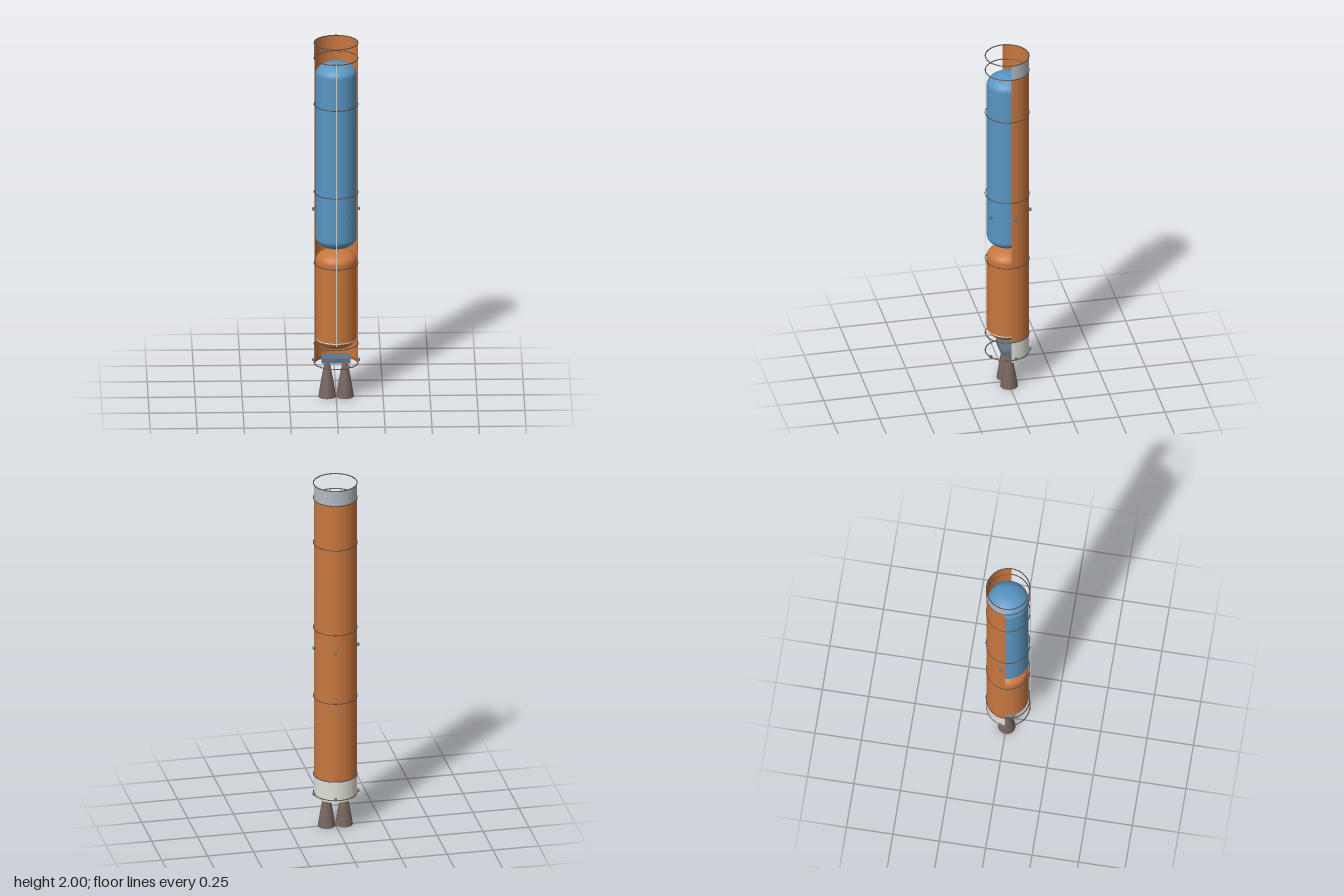
import * as THREE from 'three';

const mat = (name, color, side = THREE.FrontSide) => {
  const m = new THREE.MeshStandardMaterial({ color, side });
  m.name = name;
  return m;
};

export function createModel() {
  const root = new THREE.Group();
  root.name = 'cutawayRocketStage';
  const orange = mat('orange', 0xc8773f, THREE.DoubleSide);
  const blue = mat('blue', 0x5a96c4);
  const white = mat('offWhite', 0xe0e0d6, THREE.DoubleSide);
  const grey = mat('lightGrey', 0xb2bac2, THREE.DoubleSide);
  const brown = mat('nozzleBrown', 0x77655f, THREE.DoubleSide);
  const dark = mat('ringBrown', 0x5c4e47);
  const slate = mat('slate', 0x627488);

  const add = (name, geometry, material, x = 0, y = 0, z = 0) => {
    const mesh = new THREE.Mesh(geometry, material);
    mesh.name = name;
    mesh.position.set(x, y, z);
    root.add(mesh);
    return mesh;
  };

  // Rear half shell, open at the front, with coloured end bands
  const halfShell = (name, r, y0, y1, material) =>
    add(name, new THREE.CylinderGeometry(r, r, y1 - y0, 48, 1, true, Math.PI / 2, Math.PI),
      material, 0, (y0 + y1) / 2, 0);
  halfShell('outerShell', 0.1155, 0.18, 2.0, orange);
  halfShell('forwardBand', 0.1165, 1.91, 2.0, grey);
  halfShell('aftSkirt', 0.1165, 0.18, 0.3, white);

  // Tanks: straight barrel with elliptical domes
  const tank = (name, y0, y1, dome, material) => {
    const r = 0.109, n = 12, pts = [];
    for (let i = 0; i <= n; i++) {
      const a = (i / n) * Math.PI / 2;
      pts.push(new THREE.Vector2(r * Math.sin(a), y0 + dome * (1 - Math.cos(a))));
    }
    for (let i = 0; i <= n; i++) {
      const a = (i / n) * Math.PI / 2;
      pts.push(new THREE.Vector2(r * Math.cos(a), y1 - dome * (1 - Math.sin(a))));
    }
    add(name, new THREE.LatheGeometry(pts, 48), material);
  };
  tank('upperTank', 0.84, 1.886, 0.063, blue);
  tank('lowerTank', 0.278, 0.832, 0.06, orange);
  add('tankSeam', new THREE.CylinderGeometry(0.1098, 0.1098, 0.006, 48, 1, true), white, 0, 0.332, 0);

  // Full frame rings
  for (const y of [1.997, 1.91, 1.65, 1.155, 0.755, 0.3, 0.192]) {
    const ring = add('frameRing', new THREE.TorusGeometry(0.1165, 0.003, 8, 64), dark, 0, y, 0);
    ring.rotation.x = Math.PI / 2;
  }

  // Slim line running down the open side
  add('frontLine', new THREE.CylinderGeometry(0.0025, 0.0025, 1.59, 8), white, 0, 1.115, 0.119);

  // Small thrusters in two rows around the body
  for (const y of [1.052, 0.2]) {
    for (const deg of [57, -11, -79, -169]) {
      const a = THREE.MathUtils.degToRad(deg);
      const t = add('thruster', new THREE.BoxGeometry(0.013, 0.014, 0.014), slate,
        0.122 * Math.cos(a), y, 0.122 * Math.sin(a));
      t.rotation.y = -a;
    }
  }

  // Engine mount and two bell nozzles
  add('engineMount', new THREE.BoxGeometry(0.154, 0.028, 0.09), slate, 0, 0.215, 0);
  const bell = [[0.047, 0], [0.042, 0.035], [0.035, 0.08], [0.027, 0.125], [0.019, 0.165], [0.013, 0.203]]
    .map(([r, y]) => new THREE.Vector2(r, y));
  for (const s of [-1, 1]) add('nozzle', new THREE.LatheGeometry(bell, 32), brown, s * 0.0475, 0, 0);

  root.position.z = 0.002;
  return root;
}
